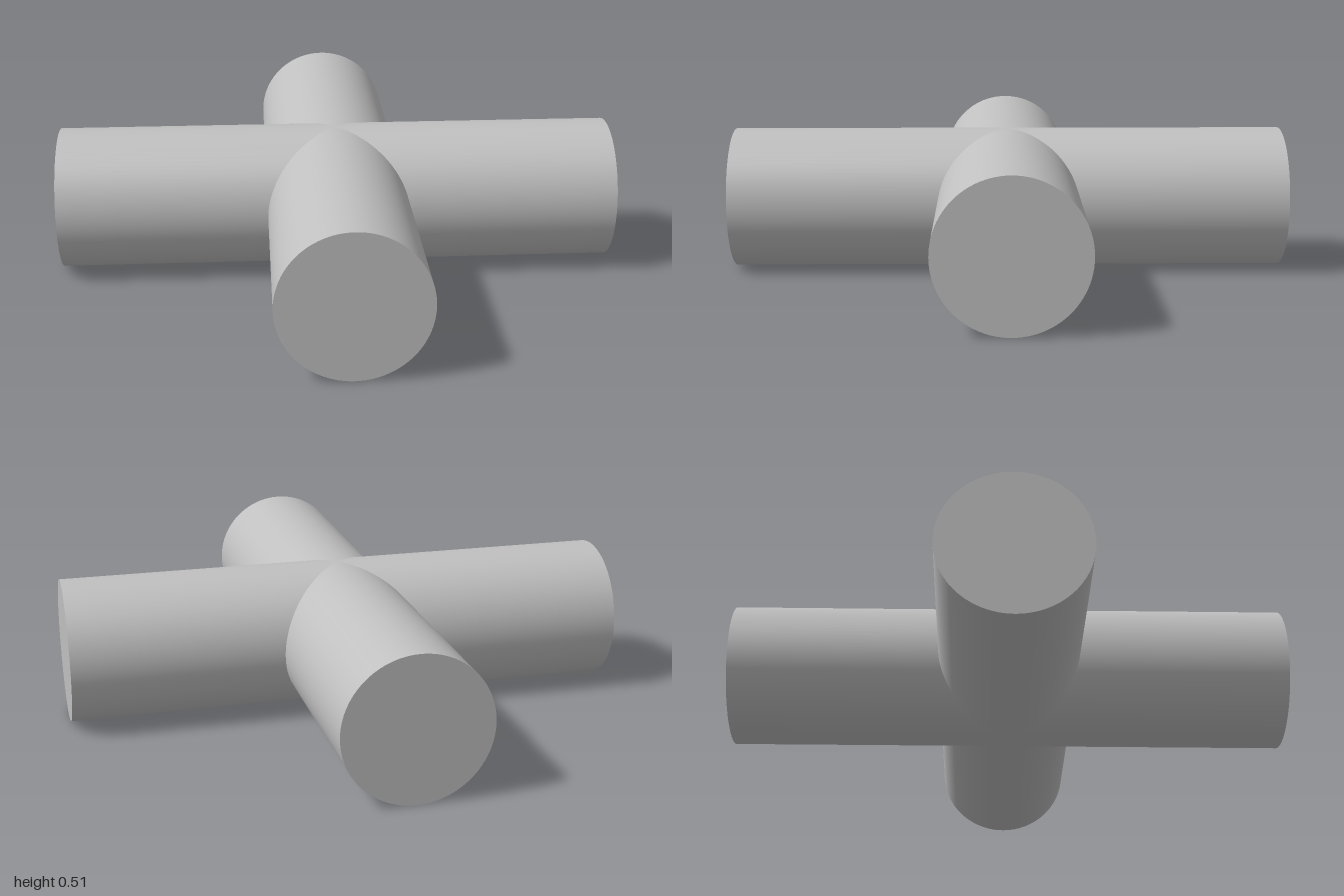
import * as THREE from 'three';

const RADIUS = 0.253;
const SIDES = 96;

// Open tube along +z from the centre to z = 1, its inner end mitred at 45 degrees
function armGeometry() {
  const geo = new THREE.CylinderGeometry(RADIUS, RADIUS, 1, SIDES, 1, true);
  geo.translate(0, 0.5, 0);
  const pos = geo.attributes.position;
  for (let i = 0; i < pos.count; i++) {
    if (pos.getY(i) < 0.5) pos.setY(i, Math.abs(pos.getX(i)));
  }
  return geo.rotateX(Math.PI / 2);
}

export function createModel() {
  const model = new THREE.Group();
  model.name = 'crossPipe';
  const grey = new THREE.MeshStandardMaterial({ color: 0xc0c0c0 });
  grey.name = 'grey';

  const tube = armGeometry();
  const disc = new THREE.CircleGeometry(RADIUS, SIDES).translate(0, 0, 1);

  // Four equal arms meeting at the mitred joint
  ['frontArm', 'leftArm', 'backArm', 'rightArm'].forEach((name, i) => {
    const arm = new THREE.Group();
    arm.name = name;
    const wall = new THREE.Mesh(tube, grey);
    wall.name = name + 'Wall';
    const cap = new THREE.Mesh(disc, grey);
    cap.name = name + 'EndCap';
    arm.add(wall, cap);
    arm.position.y = RADIUS;
    arm.rotation.y = i * Math.PI / 2;
    model.add(arm);
  });
  return model;
}
